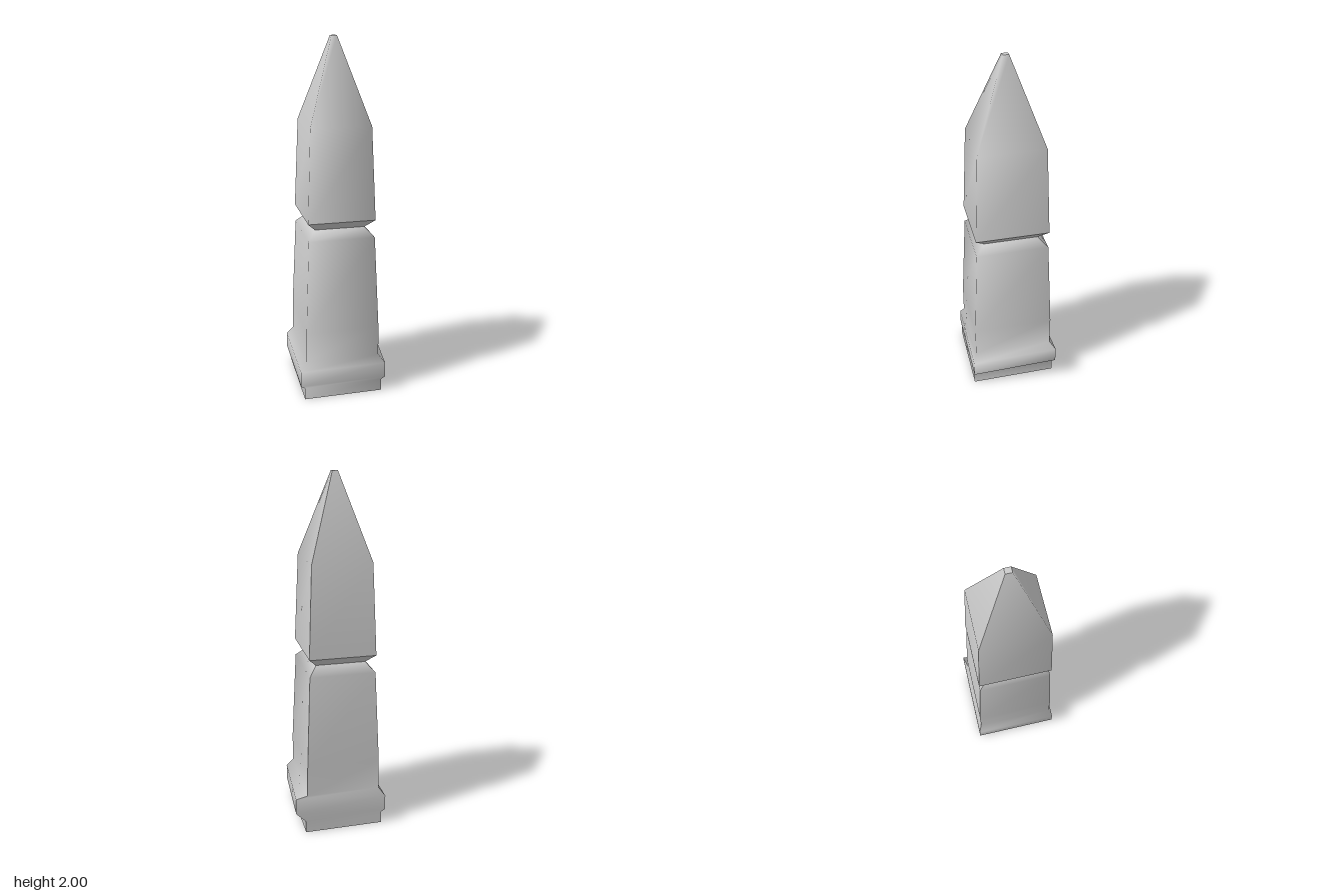
import * as THREE from 'three';

const CENTRE_X = -0.02;

// Four corners of a rectangular section: back -x, front -x, front +x, back +x
function ring([y, hx, hz, bentCorner]) {
  const corners = [[-1, -1], [-1, 1], [1, 1], [1, -1]].map(
    ([sx, sz]) => [CENTRE_X + sx * hx, y, sz * hz]);
  if (bentCorner) corners[3] = bentCorner;
  return corners;
}

// Skin over the chosen corner columns, smooth within itself
function skin(rings, columns) {
  const n = columns.length;
  const positions = [], index = [];
  for (const r of rings) for (const c of columns) positions.push(...r[c]);
  for (let i = 0; i < rings.length - 1; i++) {
    for (let j = 0; j < n - 1; j++) {
      const a = i * n + j, b = a + 1, c = a + n, d = b + n;
      index.push(a, b, d, a, d, c);
    }
  }
  const g = new THREE.BufferGeometry();
  g.setAttribute('position', new THREE.Float32BufferAttribute(positions, 3));
  g.setIndex(index);
  g.computeVertexNormals();
  return g;
}

function cap(r, up) {
  const g = new THREE.BufferGeometry();
  g.setAttribute('position', new THREE.Float32BufferAttribute(r.flat(), 3));
  g.setIndex(up ? [0, 1, 2, 0, 2, 3] : [0, 2, 1, 0, 3, 2]);
  g.computeVertexNormals();
  return g;
}

export function createModel() {
  const group = new THREE.Group();
  const material = new THREE.MeshStandardMaterial({ color: 0xcccccc });
  const add = (name, geometry) => {
    const mesh = new THREE.Mesh(geometry, material);
    mesh.name = name;
    group.add(mesh);
  };

  // Sections are [y, half width, half depth, optional bent back corner]
  const lower = [
    [0, 0.225, 0.247],
    [0.07, 0.225, 0.247],
    [0.085, 0.247, 0.25, [0.262, 0.13, -0.25]],
    [0.175, 0.247, 0.25, [0.262, 0.222, -0.25]],
    [0.225, 0.21, 0.23],
    [0.4, 0.208, 0.23],
    [0.93, 0.185, 0.205],
    [0.98, 0.14, 0.152],
  ].map(ring);
  const lip = [[0.98, 0.14, 0.152], [1.03, 0.187, 0.207]].map(ring);
  const upper = [
    [1.03, 0.187, 0.207],
    [1.54, 0.166, 0.185],
    [2, 0.015, 0.017],
  ].map(ring);

  // Front and sides share smooth corners; the back is a separate plane
  const parts = { lowerShaft: lower, notchLip: lip, upperShaft: upper };
  for (const [name, rings] of Object.entries(parts)) {
    add(name, skin(rings, [0, 1, 2, 3]));
    add(name + 'Back', skin(rings, [3, 0]));
  }

  add('underside', cap(lower[0], false));
  add('tip', cap(upper[upper.length - 1], true));
  return group;
}
